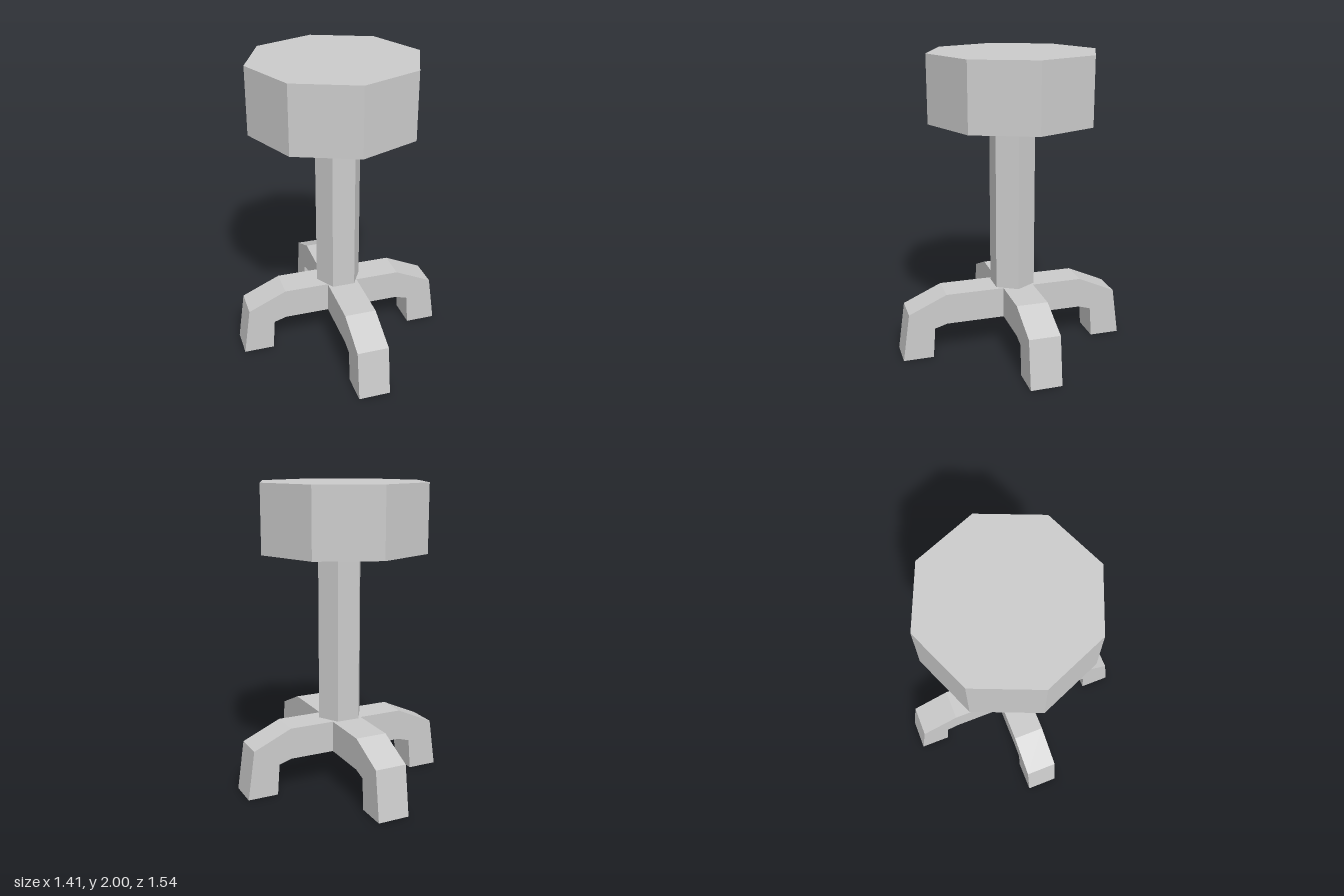
import * as THREE from 'three';

const material = new THREE.MeshStandardMaterial({ color: 0xcccccc, flatShading: true });

function part(name, geometry, x, y, z) {
  const mesh = new THREE.Mesh(geometry, material);
  mesh.name = name;
  mesh.position.set(x, y, z);
  return mesh;
}

// Arched bar with a bent leg at each end, extruded across its width
function legPair(reach, width) {
  const half = [
    [reach - 0.3, 0.44], [reach - 0.046, 0.325], [reach, 0], // outer edge
    [reach - 0.202, 0], [reach - 0.217, 0.207], [reach - 0.3, 0.232], // inner edge
  ];
  const mirrored = half.map(([x, y]) => [-x, y]).reverse();
  const points = [...half, ...mirrored].map(([x, y]) => new THREE.Vector2(x, y));
  const geometry = new THREE.ExtrudeGeometry(new THREE.Shape(points), { depth: width, bevelEnabled: false });
  return geometry.translate(0, 0, -width / 2);
}

export function createModel() {
  const group = new THREE.Group();
  group.name = 'stool';

  // Eight-sided seat with corners on the axes, slightly off centre
  group.add(part('seat', new THREE.CylinderGeometry(0.561, 0.561, 0.44, 8), -0.02, 1.78, -0.024));

  // Six-sided post with corners to the sides
  const post = new THREE.CylinderGeometry(0.153, 0.153, 1.13, 6).rotateY(Math.PI / 2);
  group.add(part('post', post, -0.003, 1.0, -0.012));

  // Two crossing pairs of legs
  group.add(part('sideLegs', legPair(0.704, 0.208), 0, 0, -0.025));
  group.add(part('frontBackLegs', legPair(0.77, 0.208).rotateY(Math.PI / 2), 0, 0, 0));

  return group;
}
